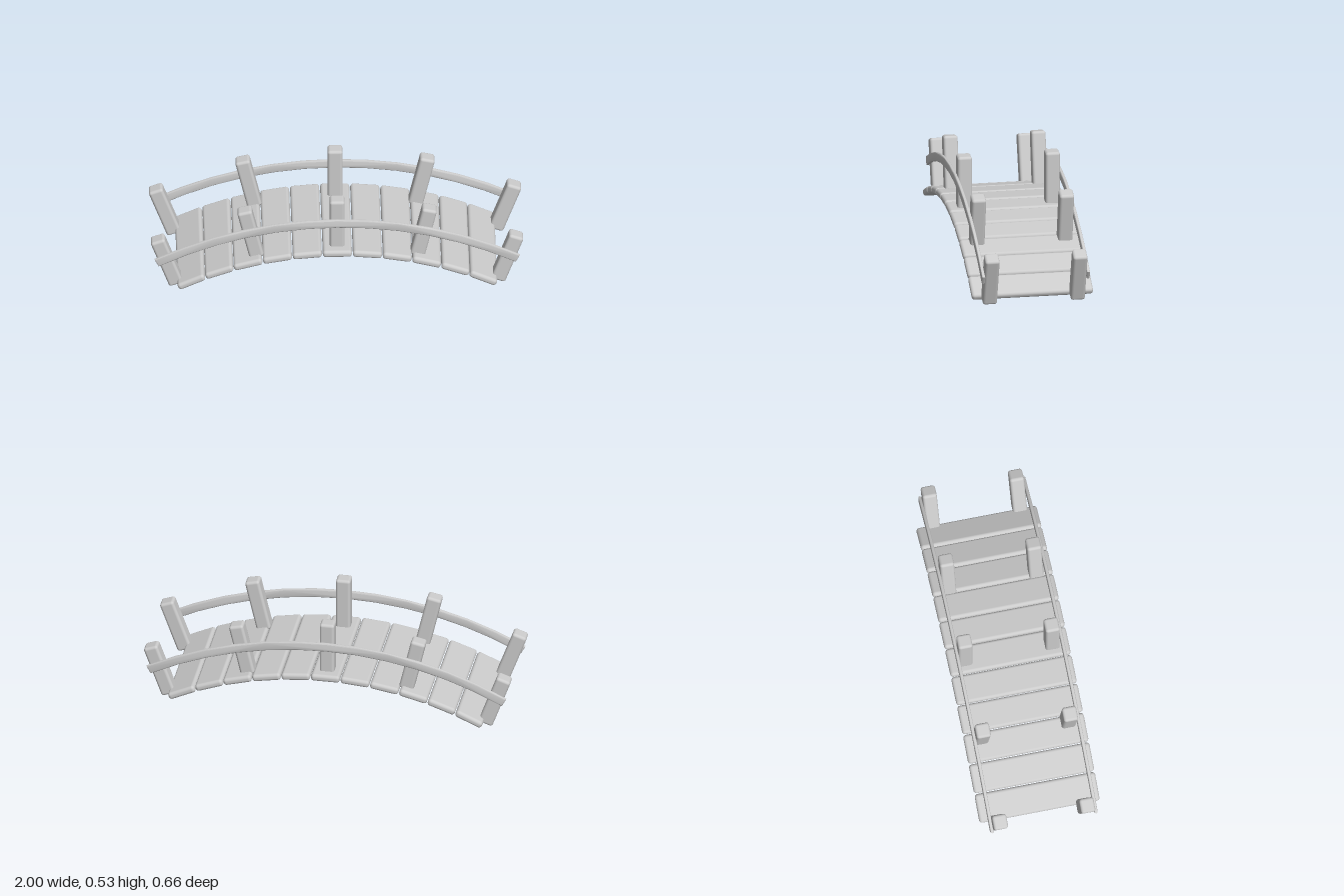
import * as THREE from 'three';
import { RoundedBoxGeometry } from 'three/addons/geometries/RoundedBoxGeometry.js';
import { toCreasedNormals } from 'three/addons/utils/BufferGeometryUtils.js';

const material = new THREE.MeshStandardMaterial({ color: 0xcccccc });

// Point on a circle whose crown is at height `top`; angle is measured from straight up
function arcPoint(radius, top, angle) {
  return new THREE.Vector2(Math.sin(angle) * radius, top - radius + Math.cos(angle) * radius);
}

function addPart(group, name, geometry, x, y, z, lean = 0) {
  const mesh = new THREE.Mesh(geometry, material);
  mesh.name = name;
  mesh.position.set(x, y, z);
  mesh.rotation.z = -lean;
  group.add(mesh);
}

// Curved handrail: an arched band with bevelled edges
function railGeometry() {
  const radius = 2.078, top = 0.405, half = 0.018, bevel = 0.007;
  const span = Math.asin(0.965 / radius), steps = 12;
  const upper = [], lower = [];
  for (let i = 0; i <= steps; i++) {
    const a = -span + (2 * span * i) / steps;
    upper.push(arcPoint(radius + half, top + half, a));
    lower.push(arcPoint(radius - half, top - half, a));
  }
  const shape = new THREE.Shape([...lower, ...upper.reverse()]);
  const depth = 0.004;
  const geometry = new THREE.ExtrudeGeometry(shape, {
    depth, bevelEnabled: true, bevelThickness: bevel, bevelSize: bevel, bevelSegments: 3,
  });
  geometry.translate(0, 0, -depth / 2);
  return toCreasedNormals(geometry, 0.7);
}

export function createModel() {
  const bridge = new THREE.Group();
  bridge.name = 'archedFootbridge';

  // Deck planks fanned along the arch
  const plank = new RoundedBoxGeometry(0.157, 0.04, 0.66, 4, 0.017);
  const plankStep = THREE.MathUtils.degToRad(4.94);
  for (let i = -5; i <= 5; i++) {
    const a = i * plankStep;
    const p = arcPoint(1.877, 0.23, a);
    addPart(bridge, 'deckPlank', plank, p.x, p.y, 0, a);
  }

  // Posts lean outwards towards the ends: [x, y, lean in degrees]
  const post = new RoundedBoxGeometry(0.08, 0.3, 0.078, 4, 0.015);
  const posts = [[0, 0.386, 0], [0.465, 0.328, 13], [0.915, 0.152, 20]];
  const rail = railGeometry();
  for (const side of [-1, 1]) {
    for (const [x, y, degrees] of posts) {
      const lean = THREE.MathUtils.degToRad(degrees);
      addPart(bridge, 'post', post, x, y, side * 0.239, lean);
      if (x > 0) addPart(bridge, 'post', post, -x, y, side * 0.239, -lean);
    }
    // Handrail on the outer face of the posts
    addPart(bridge, 'handrail', rail, 0, 0, side * 0.285);
  }
  return bridge;
}
